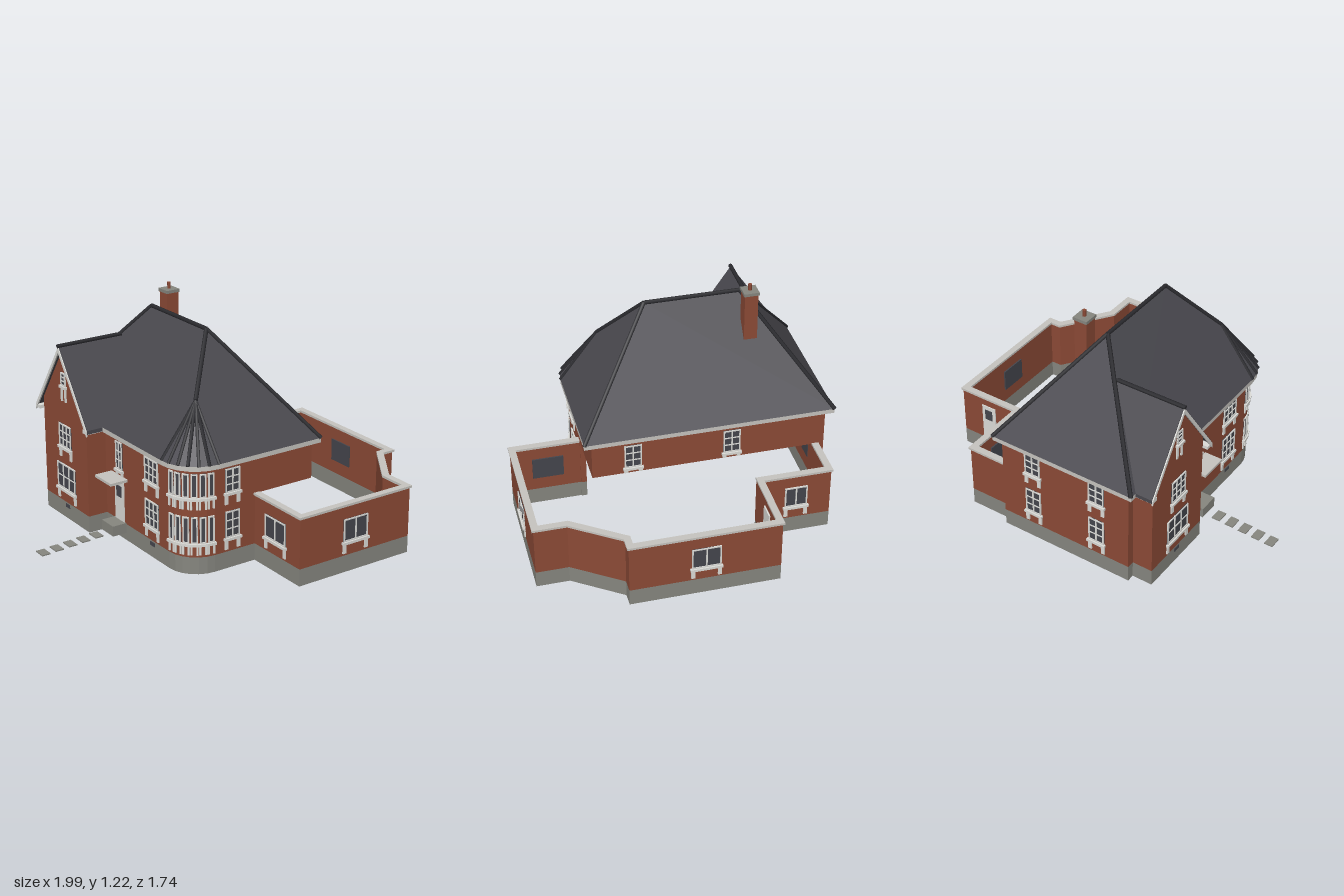
import * as THREE from 'three';

export function createModel() {
  const model = new THREE.Group();
  model.name = 'house';
  // The plan is square to its own axes (u = x, v = z), then turned on the plot.
  const plan = new THREE.Group();
  plan.name = 'turnedPlan';
  plan.rotation.y = -0.457;
  model.add(plan);

  const mat = (name, color, side = THREE.FrontSide) => {
    const m = new THREE.MeshStandardMaterial({ color, side });
    m.name = name;
    return m;
  };
  const brick = mat('brick', 0x8c4a36);
  const plinthGrey = mat('plinthGrey', 0x86867f);
  const slate = mat('slate', 0x49484e, THREE.DoubleSide);
  const ridgeDark = mat('ridgeDark', 0x2b2b2f);
  const white = mat('whitePaint', 0xdcdcd8);
  const stone = mat('paleStone', 0xc6c4bf);
  const glass = mat('glass', 0x45464d);

  const add = (name, geo, material, parent = plan) => {
    const m = new THREE.Mesh(geo, material);
    m.name = name;
    parent.add(m);
    return m;
  };
  const box = (name, w, h, d, x, y, z, material, parent = plan) => {
    const m = add(name, new THREE.BoxGeometry(w, h, d), material, parent);
    m.position.set(x, y, z);
    return m;
  };
  const bar = (name, p, q, r, material) => {
    const a = new THREE.Vector3(...p), b = new THREE.Vector3(...q), d = b.clone().sub(a);
    const m = add(name, new THREE.CylinderGeometry(r, r, d.length(), 6), material);
    m.position.copy(a).add(b).multiplyScalar(0.5);
    m.quaternion.setFromUnitVectors(new THREE.Vector3(0, 1, 0), d.normalize());
  };
  const toShape = (pts) => new THREE.Shape(pts.map(([u, v]) => new THREE.Vector2(u, -v)));
  const raise = (name, shape, y0, y1, material) => {
    const g = new THREE.ExtrudeGeometry(shape, { depth: y1 - y0, bevelEnabled: false });
    g.rotateX(-Math.PI / 2).translate(0, y0, 0);
    return add(name, g, material);
  };
  // Mitred offset of a plan path
  const offset = (pts, t, closed) => pts.map((p, i) => {
    const n = pts.length;
    const normal = (a, b) => {
      const dx = b[0] - a[0], dz = b[1] - a[1], l = Math.hypot(dx, dz);
      return [dz / l, -dx / l];
    };
    const before = closed || i > 0 ? normal(pts[(i + n - 1) % n], p) : null;
    const after = closed || i < n - 1 ? normal(p, pts[(i + 1) % n]) : null;
    const a = before || after, b = after || before;
    const k = t / (1 + a[0] * b[0] + a[1] * b[1]);
    return [p[0] + (a[0] + b[0]) * k, p[1] + (a[1] + b[1]) * k];
  });
  const ribbon = (name, pts, t, y0, y1, material) =>
    raise(name, toShape([...pts, ...offset(pts, t, false).reverse()]), y0, y1, material);

  // Rounded corner shared by walls and eaves
  const centre = [0.303, 0.39];
  const arc = (r) => Array.from({ length: 7 }, (_, i) => {
    const a = (i * Math.PI) / 12;
    return [centre[0] + r * Math.sin(a), centre[1] + r * Math.cos(a)];
  });

  // House walls: the ground floor opens into the extension at the back
  const T = 0.03;
  const front = [[-0.77, -0.2], [-0.77, 0.55], [-0.73, 0.55], [-0.73, 0.66], [-0.29, 0.66],
    [-0.29, 0.55], ...arc(0.16)];
  const ground = [[-0.72, -0.2], ...front, [0.463, 0.12]];
  ribbon('housePlinth', ground, T, 0, 0.09, plinthGrey);
  ribbon('groundFloorWall', ground, T, 0.09, 0.36, brick);
  const upper = [...front, [0.463, -0.2]];
  const ring = toShape(upper);
  ring.holes.push(toShape(offset(upper, T, true)));
  raise('upperFloorWall', ring, 0.36, 0.57, brick);

  // Roofless single-storey extension
  const ext = [[-0.735, -0.2], [-0.735, -0.435], [-0.367, -0.435], [-0.367, -0.78], [0.41, -0.78],
    [0.41, -0.71], [0.66, -0.535], [0.83, -0.535], [0.83, 0.15], [0.46, 0.15]];
  ribbon('extensionPlinth', ext, -0.025, 0, 0.09, plinthGrey);
  ribbon('extensionWall', ext, -0.025, 0.09, 0.352, brick);
  ribbon('extensionCoping', offset(ext, 0.008, false), -0.036, 0.352, 0.364, stone);

  // Main roof with a conical corner
  const E = 0.582;
  const eave = [[-0.812, -0.224], [-0.812, 0.592], ...arc(0.201), [0.504, -0.224]];
  raise('eavesAndCeiling', toShape(eave), 0.558, E, stone);
  const at = ([u, v], y = E) => [u, y, v];
  const A = [-0.406, 1.118, 0.184], B = [0.095, 1.118, 0.184], C = at(centre, 0.847);
  const rim = arc(0.201).map((p) => at(p));
  const BL = at(eave[0]), FL = at(eave[1]), BR = at(eave[9]);
  const verts = [];
  const face = (...p) => {
    for (let i = 1; i < p.length - 1; i++) {
      const [a, b, c] = [p[0], p[i], p[i + 1]];
      const up = (b[2] - a[2]) * (c[0] - a[0]) - (b[0] - a[0]) * (c[2] - a[2]);
      verts.push(...a, ...(up > 0 ? [...b, ...c] : [...c, ...b]));
    }
  };
  face(BL, FL, A);
  face(FL, rim[0], C, B, A);
  face(rim[6], BR, B, C);
  face(BL, A, B, BR);
  for (let i = 0; i < 6; i++) face(C, rim[i], rim[i + 1]);
  const roofGeo = new THREE.BufferGeometry();
  roofGeo.setAttribute('position', new THREE.Float32BufferAttribute(verts, 3));
  roofGeo.computeVertexNormals();
  add('mainRoof', roofGeo, slate);
  [[A, B], [A, BL], [A, FL], [B, BR], [B, C]].forEach(([p, q]) => bar('ridgeTile', p, q, 0.011, ridgeDark));
  rim.forEach((p) => bar('coneRib', C, p, 0.009, ridgeDark));

  // Front gable
  const G = -0.508;
  const chevron = (name, half, top, low, thick, depth, z, material) => {
    const s = new THREE.Shape([[-half, low - thick], [0, top - thick], [half, low - thick],
      [half, low], [0, top], [-half, low]].map((p) => new THREE.Vector2(...p)));
    const m = add(name, new THREE.ExtrudeGeometry(s, { depth, bevelEnabled: false }), material);
    m.position.set(G, 0, z);
  };
  chevron('gableRoof', 0.264, 0.962, 0.582, 0.02, 0.382, 0.3, slate);
  chevron('bargeBoard', 0.262, 0.955, 0.577, 0.028, 0.008, 0.68, white);
  bar('gableRidge', [G, 0.962, 0.31], [G, 0.962, 0.69], 0.011, ridgeDark);
  const gable = new THREE.Shape([[-0.222, 0.57], [0.218, 0.57], [0.218, 0.63], [0, 0.945],
    [-0.222, 0.63]].map((p) => new THREE.Vector2(...p)));
  add('gableWall', new THREE.ExtrudeGeometry(gable, { depth: T, bevelEnabled: false }), brick)
    .position.set(G, 0, 0.63);
  box('gableCeiling', 0.42, 0.012, 0.1, G, 0.566, 0.585, stone);
  for (const s of [-1, 1]) box('gableGutter', 0.04, 0.018, 0.12, G + s * 0.242, 0.568, 0.625, white);

  // Chimney
  box('chimneyStack', 0.07, 0.27, 0.07, -0.425, 1.035, 0.064, brick);
  box('chimneyCap', 0.08, 0.016, 0.08, -0.425, 1.178, 0.064, plinthGrey);
  bar('chimneyPot', [-0.425, 1.18, 0.064], [-0.425, 1.22, 0.064], 0.01, brick);

  // Anything fixed to a wall gets a group whose +z points outwards
  const fixture = (name, u, v, angle) => {
    const g = new THREE.Group();
    g.name = name;
    g.position.set(u, 0, v);
    g.rotation.y = angle;
    plan.add(g);
    return g;
  };
  const win = (u, v, angle, y0, y1, w, cols, rows, drop = 0.05) => {
    const g = fixture('window', u, v, angle), h = y1 - y0, y = (y0 + y1) / 2, f = 0.007;
    box('pane', w, h, 0.036, 0, y, -0.0145, glass, g);
    for (let i = 0; i <= cols; i++) {
      box('frameUpright', f, h, 0.008, (i / cols - 0.5) * (w - f), y, 0.004, white, g);
    }
    for (let j = 0; j <= rows; j++) {
      const t = j === 0 || j === rows ? f : 0.005;
      box('frameRail', w, t, 0.007, 0, y + (j / rows - 0.5) * (h - f), 0.004, white, g);
    }
    box('sill', w + 0.016, 0.014, 0.018, 0, y0 - 0.007, 0.006, white, g);
    const bw = Math.min(0.02, w * 0.3);
    for (const s of [-1, 1]) {
      box('sillBracket', bw, drop, 0.008, s * (w / 2 - bw / 2 + 0.003), y0 - 0.012 - drop / 2, 0.003, white, g);
    }
  };
  const H = Math.PI / 2, low = [0.165, 0.305], high = [0.405, 0.53];
  // Gable front
  win(G, 0.66, 0, ...low, 0.18, 3, 2);
  win(G, 0.66, 0, ...high, 0.12, 3, 3);
  win(G, 0.66, 0, 0.745, 0.815, 0.045, 1, 3, 0.075);
  // Main front
  win(-0.154, 0.55, 0, 0.375, 0.525, 0.06, 2, 3, 0.02);
  for (const y of [low, high]) {
    win(0.15, 0.55, 0, ...y, 0.12, 3, 3);
    // Rounded bay
    for (let i = 0; i < 6; i++) {
      const a = ((i + 0.5) * Math.PI) / 12, r = 0.1587;
      win(centre[0] + r * Math.sin(a), centre[1] + r * Math.cos(a), a, ...y, 0.033, 1, 1);
    }
    // Right and left sides
    win(0.463, 0.287, H, ...y, 0.085, 2, 3);
    for (const v of [-0.015, 0.365]) win(-0.77, v, -H, ...y, 0.09, 2, 3);
  }
  // Upper back
  for (const u of [-0.27, 0.25]) win(u, -0.2, Math.PI, 0.395, 0.53, 0.09, 2, 3, 0.02);
  // Extension
  win(0.637, 0.15, 0, 0.165, 0.285, 0.165, 2, 1);
  win(0.83, -0.19, H, 0.165, 0.285, 0.15, 2, 1);
  win(0.02, -0.78, Math.PI, 0.165, 0.285, 0.15, 2, 1);
  win(-0.55, -0.435, Math.PI, 0.165, 0.285, 0.12, 2, 1);

  // Doors
  const door = (name, u, v, angle) => {
    const g = fixture(name, u, v, angle);
    box('doorLeaf', 0.085, 0.215, 0.038, 0, 0.2, -0.0135, white, g);
    box('doorGlass', 0.045, 0.06, 0.004, 0, 0.255, 0.007, glass, g);
    return g;
  };
  const entrance = door('frontDoor', -0.157, 0.55, 0);
  box('canopy', 0.155, 0.014, 0.1, 0, 0.335, 0.05, stone, entrance);
  box('doorstep', 0.11, 0.055, 0.08, 0, 0.0675, 0.04, plinthGrey, entrance);
  door('gardenDoor', -0.367, -0.61, -H);

  // Plinth vents
  for (const [u, v] of [[G, 0.66], [0.15, 0.55]]) box('vent', 0.04, 0.02, 0.036, u, 0.073, v - 0.0145, glass);

  // Stepping stones
  for (let i = 0; i < 5; i++) {
    box('steppingStone', 0.066, 0.006, 0.046, -0.16, 0.045 - i * 0.004, 0.695 + i * 0.077, plinthGrey);
  }
  return model;
}
